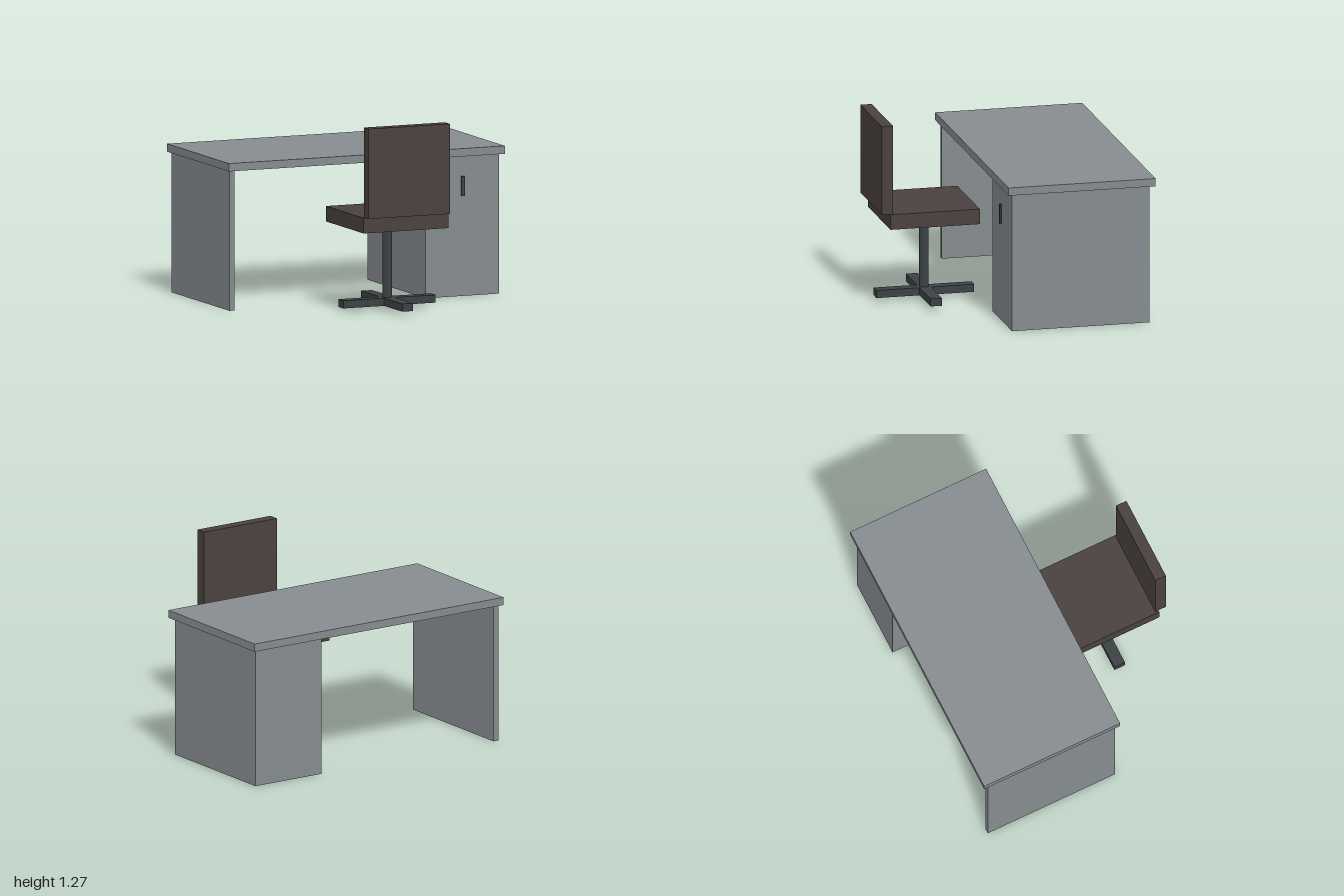
import * as THREE from 'three';

const paint = (color) => new THREE.MeshStandardMaterial({ color });

// Box given by its [min, max] extent on each axis
function block(name, [x0, x1], [y0, y1], [z0, z1], material) {
  const mesh = new THREE.Mesh(new THREE.BoxGeometry(x1 - x0, y1 - y0, z1 - z0), material);
  mesh.position.set((x0 + x1) / 2, (y0 + y1) / 2, (z0 + z1) / 2);
  mesh.name = name;
  return mesh;
}

export function createModel() {
  const deskGrey = paint(0x868c8f);
  const upholstery = paint(0x4a423f);
  const metal = paint(0x3c4244);
  const model = new THREE.Group();
  model.name = 'deskAndChair';

  // Desk: top, side panel, drawer cabinet and its handle
  const desk = new THREE.Group();
  desk.name = 'desk';
  const depth = [-0.81, 0.127];
  desk.add(
    block('deskTop', [-1, 1], [0.937, 0.99], [-0.845, 0.158], deskGrey),
    block('sidePanel', [-0.983, -0.945], [0, 0.937], depth, deskGrey),
    block('cabinet', [0.438, 0.97], [0, 0.937], depth, deskGrey),
    block('cabinetHandle', [0.691, 0.717], [0.67, 0.802], [0.134, 0.147], metal)
  );

  // Chair: cushion, backrest, post and crossed feet
  const chair = new THREE.Group();
  chair.name = 'chair';
  const centreZ = 0.485;
  const post = new THREE.Mesh(new THREE.CylinderGeometry(0.032, 0.032, 0.505, 16), metal);
  post.name = 'post';
  post.position.set(0, 0.3125, centreZ);
  chair.add(
    block('seat', [-0.307, 0.307], [0.565, 0.668], [0.18, 0.79], upholstery),
    block('backrest', [-0.294, 0.294], [0.668, 1.27], [0.768, 0.845], upholstery),
    post
  );
  const footHeight = [0.03, 0.082];
  chair.add(
    block('footBarAcross', [-0.334, 0.334], footHeight, [centreZ - 0.039, centreZ + 0.039], metal),
    block('footBarAlong', [-0.039, 0.039], footHeight, [centreZ - 0.333, centreZ + 0.333], metal)
  );

  model.add(desk, chair);
  return model;
}
